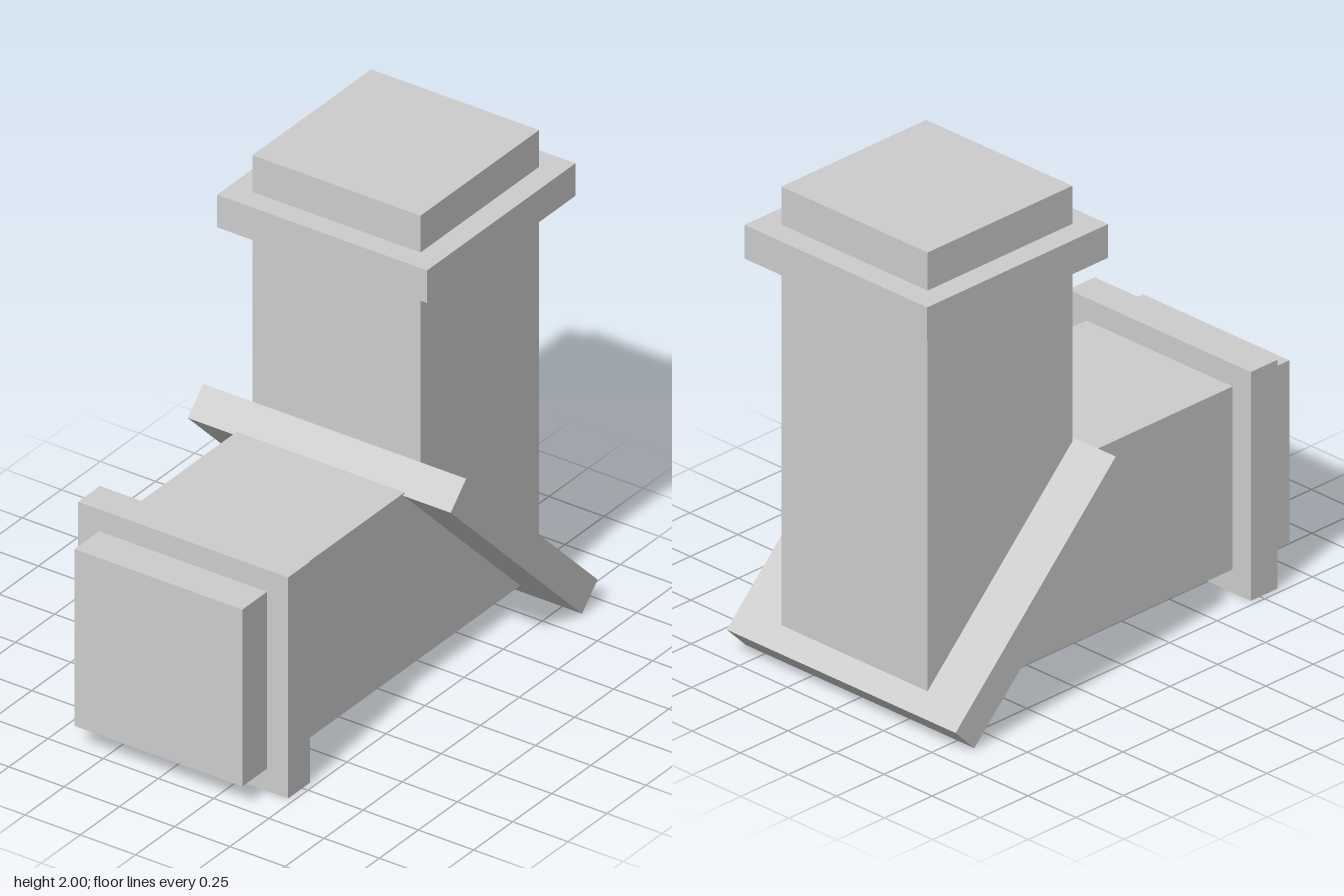
import * as THREE from 'three';

const DUCT = 0.76;      // square duct width
const FLANGE = 0.95;    // collar width
const THICK = 0.14;     // collar and plate thickness

export function createModel() {
  const group = new THREE.Group();
  group.name = 'mitredDuctElbow';
  const metal = new THREE.MeshStandardMaterial({ color: 0xcccccc });
  metal.name = 'light grey metal';

  const add = (name, geometry, x = 0, y = 0, z = 0) => {
    const mesh = new THREE.Mesh(geometry, metal);
    mesh.name = name;
    mesh.position.set(x, y, z);
    group.add(mesh);
    return mesh;
  };

  // Duct with one slanted end: (z, y) side profile extruded across x
  const duct = (name, profile) => {
    const shape = new THREE.Shape(profile.map(([z, y]) => new THREE.Vector2(z, y)));
    const geometry = new THREE.ExtrudeGeometry(shape, { depth: DUCT, bevelEnabled: false });
    geometry.rotateY(-Math.PI / 2).translate(DUCT / 2, 0, 0);
    return add(name, geometry);
  };

  // Two ducts meeting on the diagonal joint
  duct('horizontalDuct', [[-0.88, 0.1], [1, 0.1], [1, 0.86], [-0.12, 0.86]]);
  duct('verticalDuct', [[-0.9, 0.08], [-0.14, 0.84], [-0.14, 2], [-0.9, 2]]);

  // Collars near the open ends
  add('frontFlange', new THREE.BoxGeometry(FLANGE, FLANGE, THICK), 0, 0.479, 0.772);
  add('topFlange', new THREE.BoxGeometry(FLANGE, THICK, FLANGE), 0, 1.772, -0.523);

  // Slanted plate at the joint
  const plate = add('jointPlate', new THREE.BoxGeometry(1.19, 1.19, THICK), 0, 0.479, -0.5);
  plate.rotation.x = Math.PI / 4;

  return group;
}
